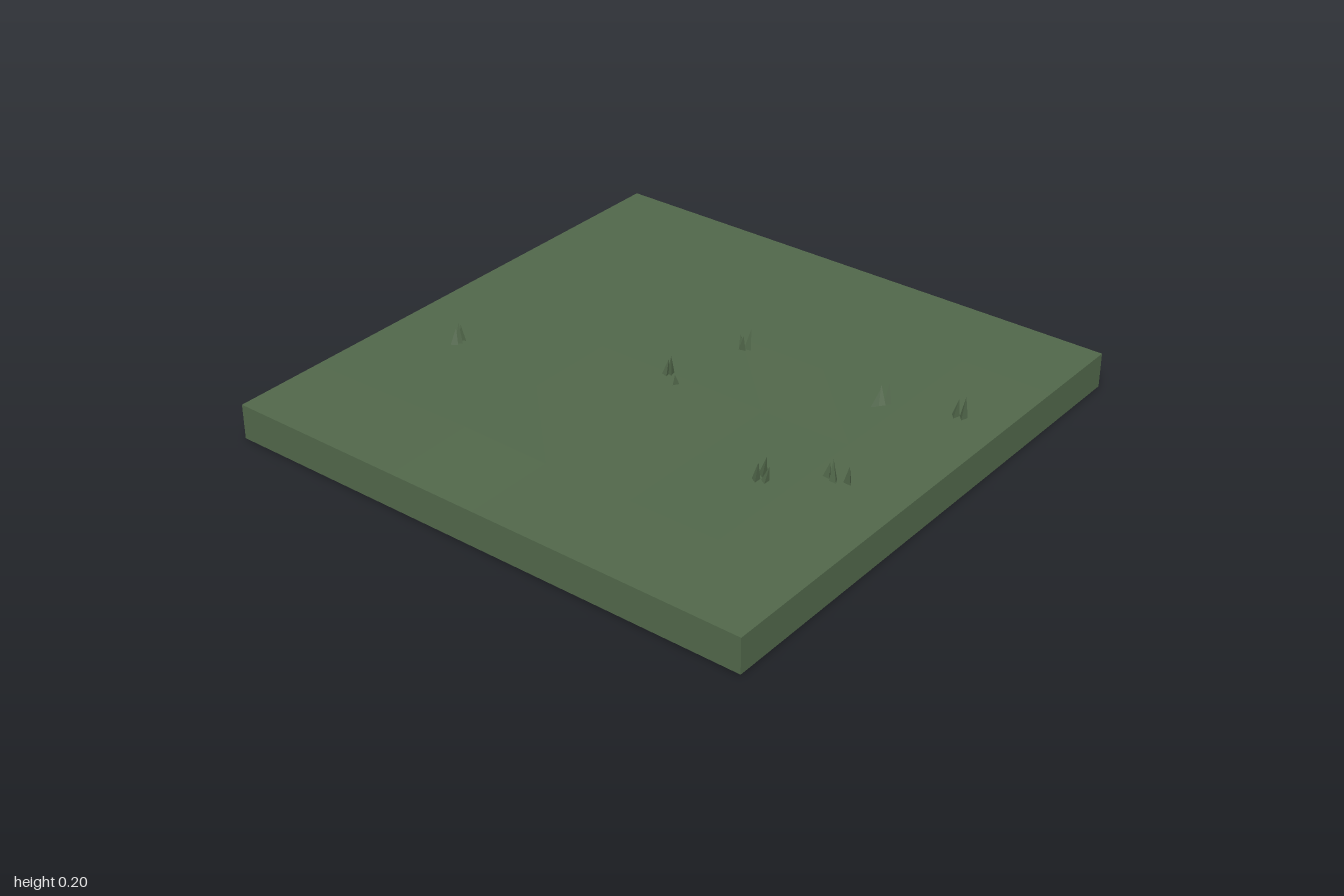
import * as THREE from 'three';

export function createModel() {
  const model = new THREE.Group();
  const ground = new THREE.MeshStandardMaterial({ color: 0x51674a, side: THREE.DoubleSide, flatShading: true });
  ground.name = 'mossGreen';

  const add = (parent, name, geometry) => {
    const mesh = new THREE.Mesh(geometry, ground);
    mesh.name = name;
    parent.add(mesh);
    return mesh;
  };

  // Gently uneven turf: rises in thousandths, row by row from the back; the rim stays level
  const rim = 0.126;
  const rises = [
    [4, 3, 2, 3, 3],
    [9, 4, 5, 4, 3],
    [3, 3, 6, 3, 2],
    [2, 1, 1, 3, 2],
    [2, 2, 3, 2, 2],
  ];
  const turf = new THREE.PlaneGeometry(2, 2, 6, 6).rotateX(-Math.PI / 2);
  const p = turf.attributes.position;
  for (let row = 0; row < 7; row++) {
    for (let col = 0; col < 7; col++) {
      const rise = rises[row - 1]?.[col - 1] ?? 0;
      p.setY(row * 7 + col, rim + rise / 1000);
    }
  }
  turf.computeVertexNormals();
  add(model, 'turf', turf);

  // Four thin side walls, open underneath
  ['frontWall', 'leftWall', 'backWall', 'rightWall'].forEach((name, i) => {
    const wall = new THREE.PlaneGeometry(2, rim).translate(0, rim / 2, 1);
    add(model, name, wall.rotateY(i * Math.PI / 2));
  });

  // Grass tufts; each blade is [x, z, tip height, lean x, lean z]
  const tufts = [
    [[-0.29, -0.735, 0.185, 0.01, 0], [-0.272, -0.73, 0.205, 0, 0], [-0.25, -0.735, 0.19, -0.012, 0.005]],
    [[-0.015, -0.05, 0.19, 0.005, 0.01], [0, -0.04, 0.205, -0.01, 0.01]],
    [[-0.042, 0.012, 0.17, -0.008, 0.005]],
    [[0.28, 0.045, 0.185, -0.01, 0.01], [0.292, 0.058, 0.205, 0.005, 0.008], [0.29, 0.04, 0.18, -0.005, -0.01]],
    [[-0.34, 0.558, 0.195, 0, 0.01], [-0.33, 0.585, 0.18, 0.01, 0.01], [-0.304, 0.558, 0.2, 0, 0.015]],
    [[0.245, 0.595, 0.185, 0.02, 0.01], [0.265, 0.61, 0.195, 0.01, -0.01], [0.282, 0.62, 0.2, 0.01, 0]],
    [[-0.19, 0.718, 0.185, 0, 0.01], [-0.2, 0.75, 0.2, 0.008, -0.01], [-0.18, 0.788, 0.195, -0.01, 0.01]],
    [[0.352, 0.832, 0.19, 0.006, 0.008], [0.358, 0.858, 0.205, 0.004, 0.005]],
  ];
  const foot = 0.124;
  tufts.forEach((blades, t) => {
    const tuft = new THREE.Group();
    tuft.name = 'grassTuft' + (t + 1);
    blades.forEach(([x, z, tip, leanX, leanZ], b) => {
      const height = tip - foot;
      const blade = new THREE.ConeGeometry(0.016, height, 3);
      blade.translate(0, height / 2, 0).rotateY(t * 1.3 + b * 2.1);
      // Shear the tip sideways
      const v = blade.attributes.position;
      for (let i = 0; i < v.count; i++) {
        const k = v.getY(i) / height;
        v.setX(i, v.getX(i) + k * leanX);
        v.setZ(i, v.getZ(i) + k * leanZ);
      }
      blade.computeVertexNormals();
      add(tuft, 'grassBlade', blade).position.set(x, foot, z);
    });
    model.add(tuft);
  });

  return model;
}
